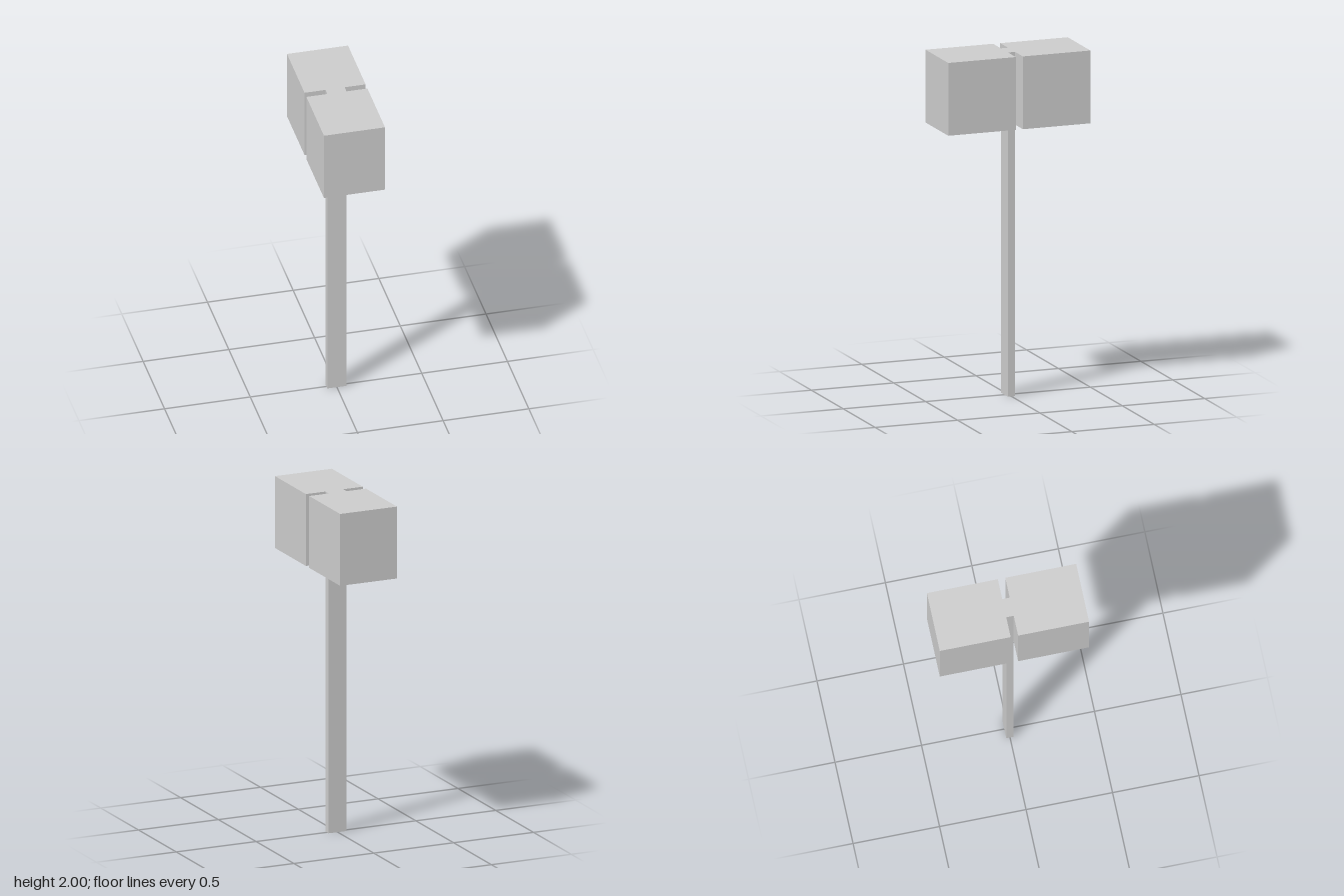
import * as THREE from 'three';

export function createModel() {
  const group = new THREE.Group();
  group.name = 'mallet';
  const material = new THREE.MeshStandardMaterial({ color: 0xcccccc, flatShading: true });

  const HEIGHT = 2;
  const HANDLE = { width: 0.112, depth: 0.043 };
  const HEAD = { width: 0.356, height: 0.423, depth: 0.41 };

  function addBox(name, w, h, d, y, z) {
    const mesh = new THREE.Mesh(new THREE.BoxGeometry(w, h, d), material);
    mesh.name = name;
    mesh.position.set(0, y, z);
    group.add(mesh);
  }

  // Flat handle, running up between the head blocks to the top
  addBox('handle', HANDLE.width, HEIGHT, HANDLE.depth, HEIGHT / 2, 0);

  // Two head blocks clamped on the front and back of the handle
  for (const [name, side] of [['frontHeadBlock', 1], ['backHeadBlock', -1]]) {
    addBox(name, HEAD.width, HEAD.height, HEAD.depth,
      HEIGHT - HEAD.height / 2, side * (HANDLE.depth + HEAD.depth) / 2);
  }

  return group;
}
